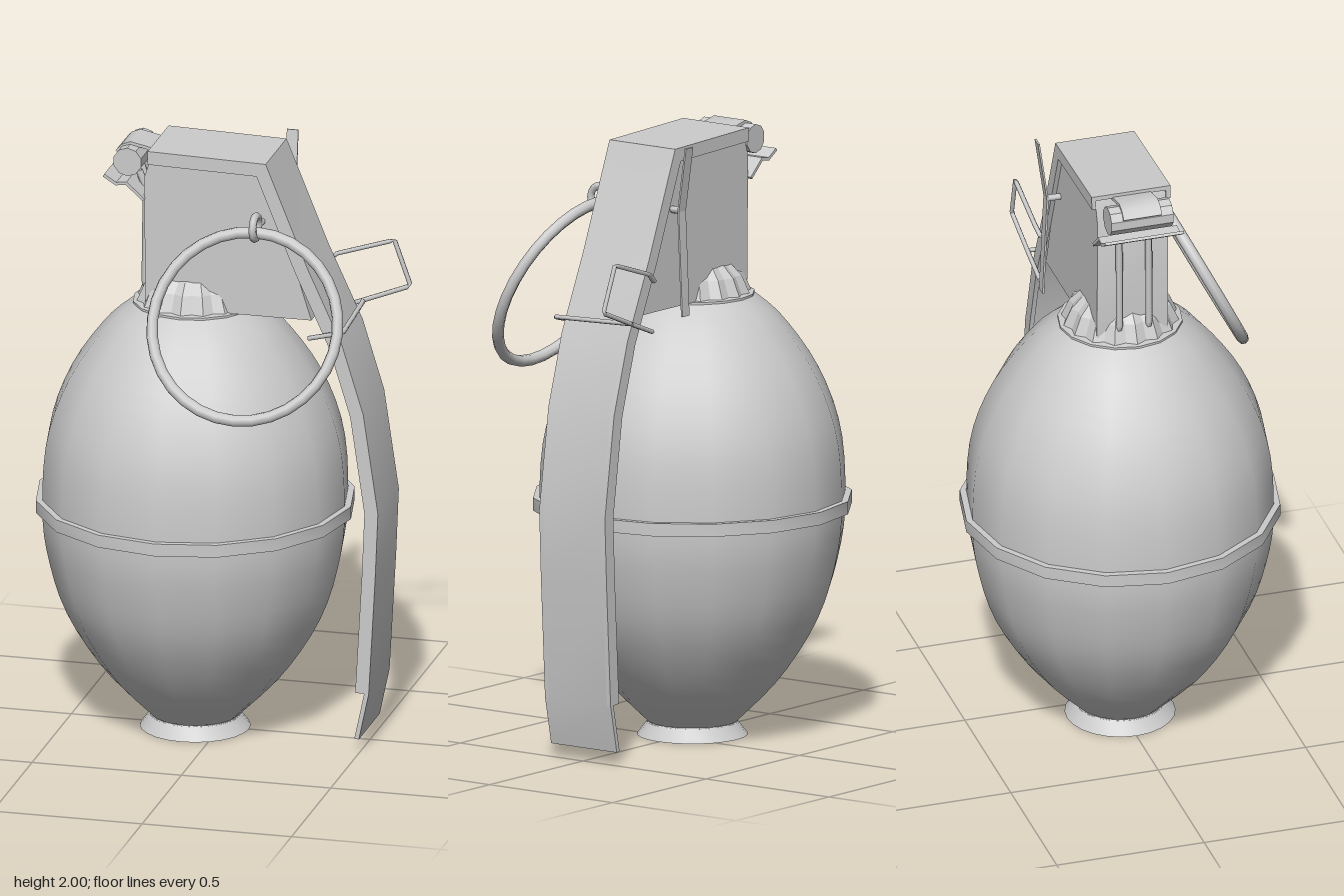
import * as THREE from 'three';
import { toCreasedNormals } from 'three/addons/utils/BufferGeometryUtils.js';

const CX = -0.085; // axis of the egg-shaped body
const V2 = (p) => new THREE.Vector2(p[0], p[1]);
const V3 = (p) => new THREE.Vector3(p[0], p[1], p[2]);

export function createModel() {
  const model = new THREE.Group();
  const smooth = new THREE.MeshStandardMaterial({ color: 0xcccccc, side: THREE.DoubleSide });
  const flat = new THREE.MeshStandardMaterial({ color: 0xcccccc, side: THREE.DoubleSide, flatShading: true });

  const add = (name, geometry, material = smooth, x = 0, y = 0, z = 0) => {
    const mesh = new THREE.Mesh(geometry, material);
    mesh.name = name;
    mesh.position.set(x, y, z);
    model.add(mesh);
    return mesh;
  };
  const lathe = (name, points, sides = 16) =>
    add(name, toCreasedNormals(new THREE.LatheGeometry(points.map(V2), sides), 0.6), smooth, CX);

  // Outline in the xy plane, extruded from z0 to z1
  const slab = (name, outline, z0, z1) => {
    const g = new THREE.ExtrudeGeometry(new THREE.Shape(outline.map(V2)), { depth: z1 - z0, bevelEnabled: false });
    g.translate(0, 0, z0);
    return add(name, toCreasedNormals(g, 0.6), smooth);
  };

  // Sheet that follows a path, thickened towards the right-hand side of travel
  const sheet = (name, path, thickness, z0, z1) => {
    const last = path.length - 1;
    const normal = (a, b) => new THREE.Vector2(b[1] - a[1], a[0] - b[0]).normalize();
    const inner = path.map((p, i) => {
      const n0 = normal(path[Math.max(i - 1, 0)], path[Math.max(i, 1)]);
      const n1 = normal(path[Math.min(i, last - 1)], path[Math.min(i + 1, last)]);
      const m = n0.clone().add(n1).normalize();
      const d = thickness / m.dot(n0);
      return [p[0] + m.x * d, p[1] + m.y * d];
    });
    return slab(name, [...path, ...inner.reverse()], z0, z1);
  };

  // Bent wire with sharp corners
  const wire = (name, points, radius) => {
    const path = new THREE.CurvePath();
    for (let i = 1; i < points.length; i++) path.add(new THREE.LineCurve3(V3(points[i - 1]), V3(points[i])));
    return add(name, new THREE.TubeGeometry(path, (points.length - 1) * 10, radius, 6), smooth);
  };

  // Body
  const profile = new THREE.SplineCurve([
    [0.145, 0.045], [0.295, 0.2], [0.42, 0.4], [0.482, 0.6], [0.5, 0.77],
    [0.484, 1.0], [0.412, 1.2], [0.295, 1.37], [0.2, 1.455],
  ].map(V2)).getPoints(28);
  add('body', new THREE.LatheGeometry(profile, 16), smooth, CX);
  lathe('waistBand', [[0.49, 0.749], [0.521, 0.749], [0.521, 0.791], [0.49, 0.791]]);

  // Flared foot, open underneath
  lathe('foot', [[0.18, 0], [0.145, 0.045]], 24);
  const base = add('footPlate', new THREE.CircleGeometry(0.148, 24), smooth, CX, 0.042);
  base.rotation.x = Math.PI / 2;

  // Neck collar
  lathe('neckCollar', [[0.18, 1.446], [0.203, 1.448], [0.203, 1.46], [0.175, 1.464]]);

  // Fluted neck dome: every other column of the lathe is drawn inwards
  const dome = new THREE.LatheGeometry([[0.192, 1.46], [0.165, 1.52], [0.13, 1.555], [0.06, 1.57], [0, 1.575]].map(V2), 32);
  const pos = dome.attributes.position;
  for (let i = 0; i < pos.count; i++) {
    const k = Math.floor(i / 5) % 2 ? 0.93 : 1;
    pos.setXYZ(i, pos.getX(i) * k, pos.getY(i), pos.getZ(i) * k);
  }
  add('neckDome', dome, flat, CX);

  // Fuse housing
  slab('fuseHousing', [[-0.22, 1.46], [0.335, 1.46], [0.175, 1.97], [-0.2, 1.975], [-0.225, 1.9]], -0.12, 0.12);

  // Safety lever: a channel of thin sheet with a flange along each edge
  const lever = [[-0.21, 1.995], [0.185, 1.985], [0.325, 1.64], [0.44, 1.39], [0.512, 1.155],
    [0.561, 0.82], [0.552, 0.6], [0.53, 0.2]];
  sheet('lever', [...lever, [0.497, 0.043]], 0.015, -0.135, 0.132);
  sheet('leverFlange', lever, 0.045, -0.135, -0.12);
  sheet('leverFlange', lever, 0.045, 0.117, 0.132);

  // Hinge
  const pin = add('hingePin', new THREE.CylinderGeometry(0.048, 0.048, 0.21, 10), flat, -0.285, 1.943);
  pin.rotation.x = Math.PI / 2;
  sheet('hingeStrap', [[-0.335, 1.965], [-0.315, 1.988], [-0.285, 2], [-0.2, 1.982]], 0.01, -0.065, 0.065);
  sheet('hingeHook', [[-0.355, 1.905], [-0.315, 1.88], [-0.28, 1.885], [-0.22, 1.83]], 0.01, -0.135, 0.132);
  for (const z of [-0.05, 0.05]) {
    wire('hingeSpring', [[-0.26, 1.9, z], [-0.236, 1.84, z], [-0.24, 1.52, z], [-0.22, 1.47, z]], 0.012);
  }

  // Pull ring, eyelet and cotter pin with splayed prongs
  const ring = add('pullRing', new THREE.TorusGeometry(0.309, 0.019, 8, 32), smooth, 0.167, 1.493, 0.327);
  ring.rotation.x = -0.465;
  const eyelet = add('pinEyelet', new THREE.TorusGeometry(0.038, 0.013, 6, 16), smooth, 0.165, 1.785, 0.185);
  eyelet.rotation.y = Math.PI / 2;
  wire('cotterPin', [[0.168, 1.785, 0.15], [0.185, 1.785, -0.165]], 0.012);
  for (const [y, z] of [[1.997, -0.195], [1.44, -0.18]]) {
    const dy = y - 1.785, dz = z + 0.165;
    const prong = add('cotterProng', new THREE.BoxGeometry(0.038, Math.hypot(dy, dz), 0.006), flat,
      0.19, (y + 1.785) / 2, (z - 0.165) / 2);
    prong.rotation.x = Math.atan(dz / dy);
  }

  // Wire safety clip wrapped around the lever
  wire('safetyClip', [
    [0.33, 1.405, 0.14], [0.45, 1.44, 0.157], [0.44, 1.45, -0.15], [0.595, 1.51, -0.155],
    [0.54, 1.66, -0.16], [0.35, 1.6, -0.155], [0.31, 1.57, -0.145],
  ], 0.008);
  wire('safetyClipTail', [[0.44, 1.45, -0.15], [0.32, 1.405, -0.145]], 0.008);

  return model;
}
